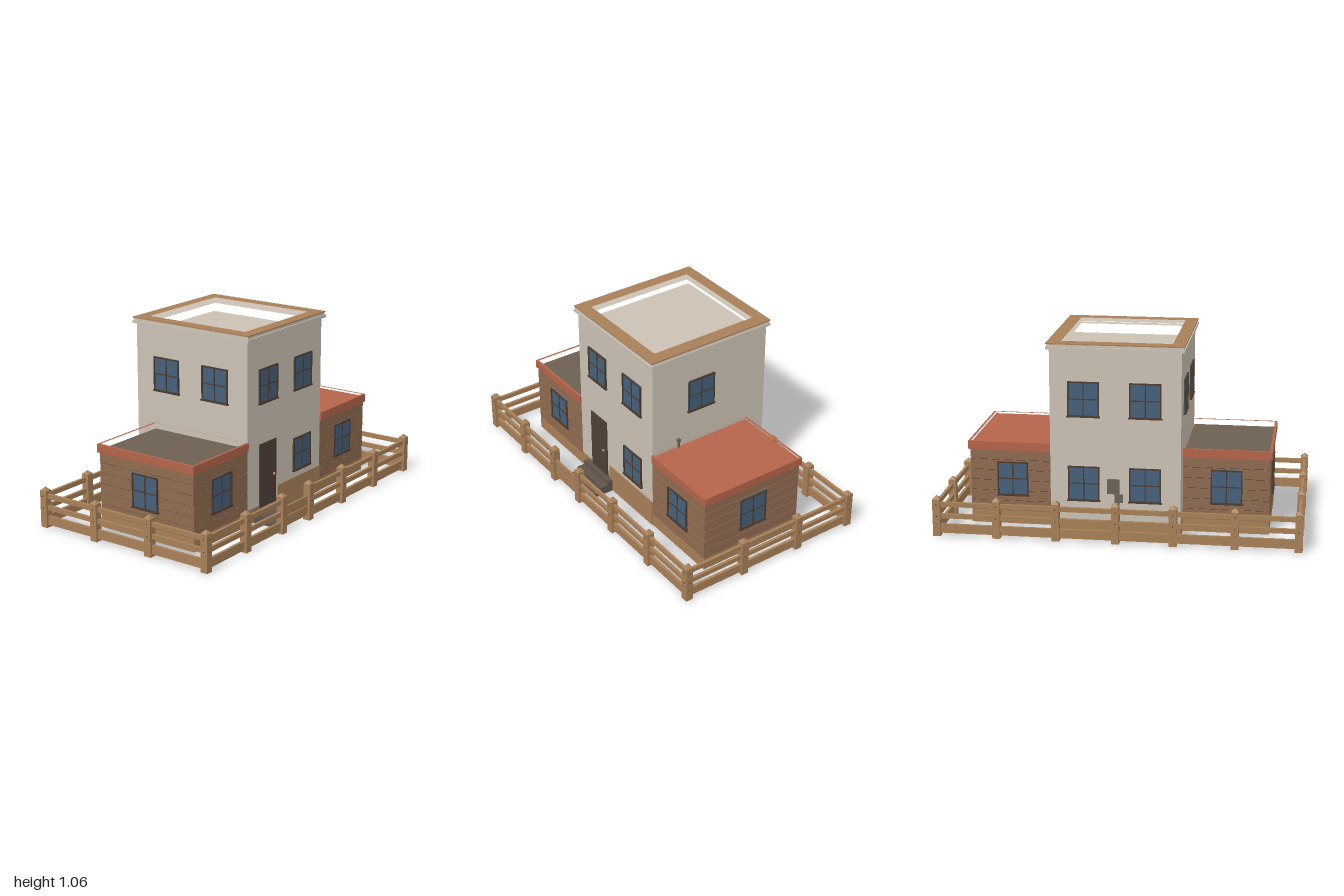
import * as THREE from 'three';

const mat = (color) => new THREE.MeshStandardMaterial({ color, flatShading: true });
const M = {
  plaster: mat(0xcbc2b4), wood: mat(0xa88058), siding: mat(0x8f6b50), groove: mat(0x4a382b),
  red: mat(0xb5644a), slate: mat(0x6d6052), glass: mat(0x45607a), frame: mat(0x4a3b30),
  door: mat(0x4d4036), step: mat(0x5f554b), metal: mat(0x6b6258), knob: mat(0xb8804a),
};

// Box given by its limits on each axis
function box(parent, name, m, x0, x1, y0, y1, z0, z1) {
  const mesh = new THREE.Mesh(new THREE.BoxGeometry(x1 - x0, y1 - y0, z1 - z0), m);
  mesh.position.set((x0 + x1) / 2, (y0 + y1) / 2, (z0 + z1) / 2);
  mesh.name = name;
  parent.add(mesh);
  return mesh;
}

// Rectangular ring lying flat: outer limits, inner limits, height range
function ring(parent, name, m, [ox0, ox1, oz0, oz1], [ix0, ix1, iz0, iz1], y0, y1) {
  const rect = (C, a, b, c, d) => {
    const s = new C();
    s.moveTo(a, -c); s.lineTo(b, -c); s.lineTo(b, -d); s.lineTo(a, -d); s.closePath();
    return s;
  };
  const shape = rect(THREE.Shape, ox0, ox1, oz0, oz1);
  shape.holes.push(rect(THREE.Path, ix0, ix1, iz0, iz1));
  const geo = new THREE.ExtrudeGeometry(shape, { depth: y1 - y0, bevelEnabled: false });
  geo.rotateX(-Math.PI / 2);
  const mesh = new THREE.Mesh(geo, m);
  mesh.position.y = y0;
  mesh.name = name;
  parent.add(mesh);
}

// Four-pane window facing its local +z
function addWindow(parent, x, y, z, turn) {
  const g = new THREE.Group();
  g.name = 'window';
  const w = 0.086, h = 0.096, t = 0.007;
  box(g, 'glass', M.glass, -w, w, -h, h, -0.004, 0.004);
  for (const s of [-1, 1]) {
    const cx = s * (w - t / 2), cy = s * (h - t / 2);
    box(g, 'frameSide', M.frame, cx - t / 2, cx + t / 2, -h, h, -0.004, 0.01);
    box(g, 'frameRail', M.frame, -w, w, cy - t / 2, cy + t / 2, -0.004, 0.01);
  }
  box(g, 'muntin', M.frame, -0.003, 0.003, -h, h, -0.004, 0.008);
  box(g, 'muntin', M.frame, -w, w, -0.003, 0.003, -0.004, 0.008);
  box(g, 'sill', M.frame, -w - 0.005, w + 0.005, -h - 0.004, -h + 0.003, -0.004, 0.013);
  g.position.set(x, y, z);
  g.rotation.y = turn;
  parent.add(g);
}

const T = { x0: -0.337, x1: 0.373, z0: -0.418, z1: 0.334 };
const FRONT = 0, BACK = Math.PI, RIGHT = Math.PI / 2, LEFT = -Math.PI / 2;

function buildTower() {
  const g = new THREE.Group();
  g.name = 'tower';
  const hole = [-0.285, 0.315, -0.365, 0.28];
  box(g, 'towerFoundation', M.wood, T.x0, T.x1, 0, 0.085, T.z0, T.z1);
  box(g, 'towerWalls', M.plaster, T.x0, T.x1, 0.085, 0.965, T.z0, T.z1);
  // Parapet, stepped cornice and wooden cap around the sunken roof
  ring(g, 'parapet', M.plaster, [T.x0, T.x1, T.z0, T.z1], hole, 0.965, 1.03);
  ring(g, 'corniceLower', M.plaster, [-0.355, 0.391, -0.434, 0.352], hole, 1.028, 1.043);
  ring(g, 'corniceUpper', M.plaster, [-0.349, 0.385, -0.428, 0.345], hole, 1.043, 1.057);
  ring(g, 'roofCap', M.wood, [-0.354, 0.39, -0.433, 0.35], hole, 1.057, 1.063);
  // Skirting and door
  box(g, 'frontSkirting', M.wood, -0.05, T.x1, 0, 0.155, 0.33, 0.34);
  box(g, 'door', M.door, -0.228, -0.072, 0.07, 0.435, 0.33, 0.341);
  const knob = new THREE.Mesh(new THREE.SphereGeometry(0.008, 10, 8), M.knob);
  knob.name = 'doorKnob';
  knob.position.set(-0.098, 0.237, 0.346);
  g.add(knob);
  // Entrance steps
  [[0.022, 0.467], [0.048, 0.415], [0.072, 0.368]].forEach(([y, z]) =>
    box(g, 'entranceStep', M.step, -0.275, -0.02, 0, y, 0.33, z));
  // Windows
  for (const [x, y] of [[-0.15, 0.76], [0.185, 0.76], [0.185, 0.29]]) addWindow(g, x, y, T.z1, FRONT);
  for (const x of [-0.145, 0.19]) for (const y of [0.76, 0.29]) addWindow(g, x, y, T.z0, BACK);
  addWindow(g, T.x1, 0.76, 0.016, RIGHT);
  for (const z of [-0.21, 0.12]) addWindow(g, T.x0, 0.76, z, LEFT);
  // Utility boxes with conduit on the back wall
  box(g, 'meterBox', M.metal, -0.005, 0.06, 0.24, 0.32, -0.436, -0.415);
  box(g, 'junctionBox', M.metal, -0.025, 0.02, 0.19, 0.235, -0.43, -0.415);
  box(g, 'conduit', M.metal, -0.004, 0.006, 0.085, 0.24, -0.427, -0.415);
  return g;
}

// Low wing: xIn touches the tower, xOut is the outer wall
function buildWing(name, xIn, xOut, roof, roofY) {
  const g = new THREE.Group();
  g.name = name;
  const s = Math.sign(xOut), a = Math.min(xIn, xOut), b = Math.max(xIn, xOut);
  const z0 = -0.295, z1 = 0.335;
  box(g, 'wingFoundation', M.wood, a, b, 0, 0.074, z0, z1);
  box(g, 'wingCore', M.groove, a + 0.003, b - 0.003, 0.07, 0.43, z0 + 0.003, z1 - 0.003);
  for (let i = 0; i < 6; i++) {
    const y = 0.074 + i * 0.059;
    box(g, 'sidingPlank', M.siding, a, b, y, y + 0.056, z0, z1);
  }
  // Red fascia with a sunken roof panel
  const o = xOut + s * 0.01, f = s > 0 ? [xIn, o] : [o, xIn];
  const inner = s > 0 ? [xIn + 0.002, o - 0.014] : [o + 0.014, xIn - 0.002];
  ring(g, 'roofTrim', M.red, [...f, -0.306, 0.343], [...inner, -0.292, 0.329], 0.425, 0.472);
  box(g, 'roofPanel', roof, inner[0], inner[1], 0.42, roofY, -0.293, 0.33);
  // Windows
  const cx = s > 0 ? 0.608 : -0.575;
  addWindow(g, cx, 0.262, z1, FRONT);
  addWindow(g, cx, 0.262, z0, BACK);
  addWindow(g, xOut, 0.262, 0.016, s > 0 ? RIGHT : LEFT);
  return g;
}

function buildFence() {
  const g = new THREE.Group();
  g.name = 'fence';
  const X = 0.979, Z = 0.542, r = 0.021;
  const rails = [[0.016, 0.066], [0.099, 0.125], [0.165, 0.191]];
  const front = [-X, -0.64, -0.31, -0.05, 0.285, 0.63, X];
  const back = [-X, -0.64, -0.31, 0, 0.325, 0.65, X];
  const side = [-Z, -0.188, 0.178, Z];

  const post = (x, z) => {
    box(g, 'fencePost', M.wood, x - r, x + r, 0, 0.208, z - r, z + r);
    const cap = new THREE.Mesh(new THREE.ConeGeometry(r * Math.SQRT2, 0.02, 4), M.wood);
    cap.name = 'postCap';
    cap.rotation.y = Math.PI / 4;
    cap.position.set(x, 0.218, z);
    g.add(cap);
    // Bolt heads at the two upper rails
    for (const y of [0.112, 0.178]) {
      if (Math.abs(z) === Z) {
        const zf = z + Math.sign(z) * r;
        box(g, 'bolt', M.frame, x - 0.003, x + 0.003, y - 0.003, y + 0.003, zf - 0.001, zf + 0.001);
      }
      if (Math.abs(x) === X) {
        const xf = x + Math.sign(x) * r;
        box(g, 'bolt', M.frame, xf - 0.001, xf + 0.001, y - 0.003, y + 0.003, z - 0.003, z + 0.003);
      }
    }
  };
  front.forEach((x) => post(x, Z));
  back.forEach((x) => post(x, -Z));
  for (const x of [-X, X]) side.slice(1, -1).forEach((z) => post(x, z));

  for (const [y0, y1] of rails) {
    box(g, 'backRail', M.wood, -X, X, y0, y1, -Z - 0.008, -Z + 0.008);
    box(g, 'frontRail', M.wood, -X, -0.31, y0, y1, Z - 0.008, Z + 0.008);
    box(g, 'frontRail', M.wood, -0.05, X, y0, y1, Z - 0.008, Z + 0.008);
    for (const x of [-X, X]) box(g, 'sideRail', M.wood, x - 0.008, x + 0.008, y0, y1, -Z, Z);
  }
  // Low gate in front of the door
  for (const [y0, y1] of [[0.03, 0.084], [0.088, 0.14]])
    box(g, 'gateBoard', M.wood, -0.29, -0.07, y0, y1, Z - 0.006, Z + 0.006);
  return g;
}

export function createModel() {
  const model = new THREE.Group();
  model.name = 'house';
  model.add(buildTower());
  model.add(buildWing('rightWing', T.x1, 0.845, M.red, 0.462));
  model.add(buildWing('leftWing', T.x0, -0.81, M.slate, 0.44));
  // Roof vent beside the tower
  box(model, 'ventPipe', M.metal, 0.376, 0.386, 0.45, 0.5, 0.162, 0.172);
  box(model, 'ventCap', M.metal, 0.374, 0.389, 0.497, 0.516, 0.158, 0.176);
  model.add(buildFence());
  return model;
}
